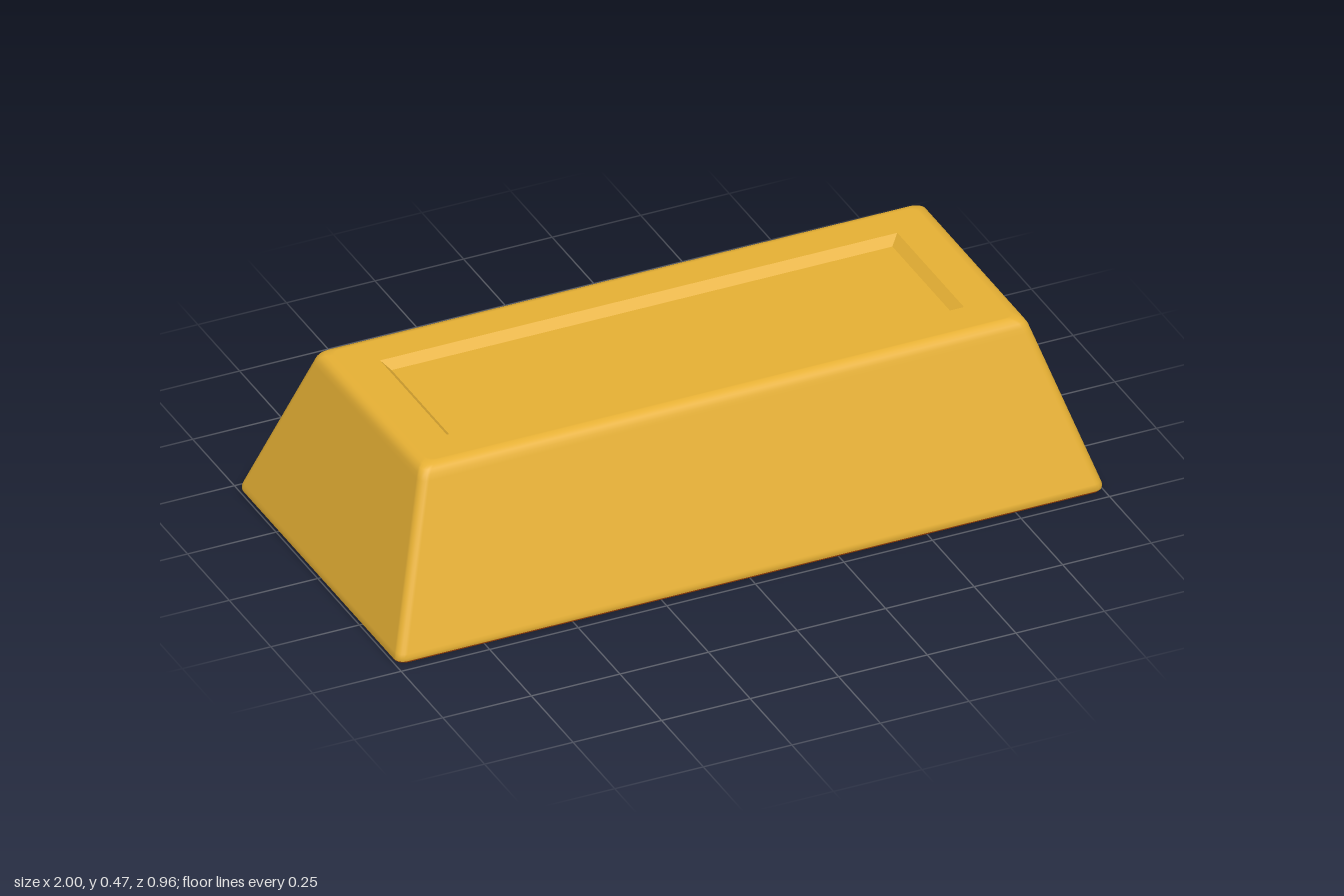
import * as THREE from 'three';

const H = 0.472;    // height of the top face
const DEPTH = 0.024; // depth of the stamped recess

// Rectangle outline with rounded corners, counter-clockwise seen from above
function outline(hx, hz, r = 0, steps = 0) {
  const pts = [];
  [[1, 1], [-1, 1], [-1, -1], [1, -1]].forEach(([sx, sy], q) => {
    for (let i = 0; i <= steps; i++) {
      const a = (q + (steps ? i / steps : 0)) * Math.PI / 2;
      pts.push(new THREE.Vector2(
        sx * (hx - r) + r * Math.cos(a),
        sy * (hz - r) + r * Math.sin(a)));
    }
  });
  // Sharp corners sit exactly on the rectangle
  return pts;
}

// Skin through a stack of outlines, each given as { y, pts }
function loft(rings, flat = false) {
  const n = rings[0].pts.length, pos = [], idx = [];
  for (const { y, pts } of rings) for (const p of pts) pos.push(p.x, y, -p.y);
  for (let k = 0; k < rings.length - 1; k++) {
    for (let i = 0; i < n; i++) {
      const j = (i + 1) % n, a = k * n + i, b = k * n + j;
      idx.push(a, b, b + n, a, b + n, a + n);
    }
  }
  let geo = new THREE.BufferGeometry();
  geo.setAttribute('position', new THREE.Float32BufferAttribute(pos, 3));
  geo.setIndex(idx);
  if (flat) geo = geo.toNonIndexed();
  geo.computeVertexNormals();
  return geo;
}

const rounded = ([y, hx, hz]) => ({ y, pts: outline(hx, hz, 0.025, 5) });

// Horizontal face, optionally with a hole
function plate(pts, y, hole, down = false) {
  const shape = new THREE.Shape(pts);
  if (hole) shape.holes.push(new THREE.Path(hole));
  return new THREE.ShapeGeometry(shape)
    .rotateX(down ? Math.PI / 2 : -Math.PI / 2)
    .translate(0, y, 0);
}

export function createModel() {
  const group = new THREE.Group();
  const gold = new THREE.MeshStandardMaterial({ color: 0xe6b034 });
  gold.name = 'gold';
  const copper = new THREE.MeshStandardMaterial({ color: 0xd45c0c });
  copper.name = 'copper underside';

  const add = (name, geo, mat) => {
    const mesh = new THREE.Mesh(geo, mat);
    mesh.name = name;
    group.add(mesh);
  };

  // Sloping sides with softened top and bottom edges
  add('slopingSides', loft([
    [0.01, 0.998, 0.477], [0.02, 0.998, 0.479], [0.03, 0.995, 0.476],
    [0.435, 0.866, 0.331], [0.45, 0.861, 0.326], [0.461, 0.854, 0.319],
    [0.468, 0.844, 0.31], [H, 0.83, 0.298], [H, 0.825, 0.293],
  ].map(rounded)), gold);

  // Top rim around the stamped recess
  const mouth = outline(0.73, 0.2), floor = outline(0.707, 0.18);
  add('topRim', plate(outline(0.825, 0.293, 0.025, 5), H, mouth), gold);

  // Recess with slanted walls
  add('recessWalls', loft([{ y: H, pts: mouth }, { y: H - DEPTH, pts: floor }], true), gold);
  add('recessFloor', plate(floor, H - DEPTH), gold);

  // Underside and its small rounded edge
  add('baseEdge', loft([
    [0, 0.985, 0.464], [0.004, 0.994, 0.473], [0.01, 0.998, 0.477],
  ].map(rounded)), copper);
  add('underside', plate(outline(0.985, 0.464, 0.025, 5), 0, null, true), copper);

  return group;
}
